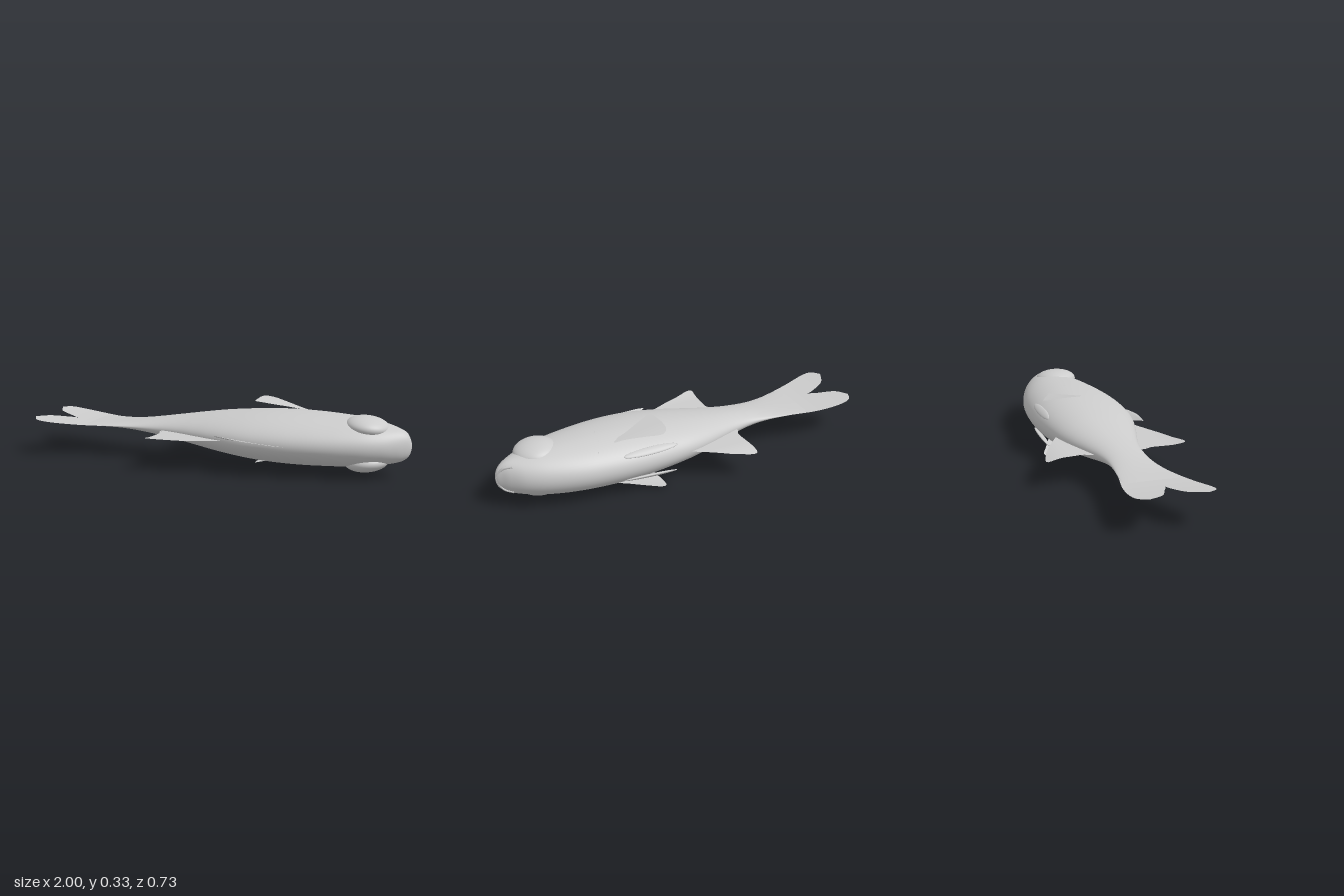
import * as THREE from 'three';
import { ParametricGeometry } from 'three/addons/geometries/ParametricGeometry.js';

const MID = 0.17; // height of the fish's plane of symmetry; it lies on its side

// Body stations: x, belly z, back z, half thickness
const STATIONS = [
  [-0.72, -0.13, 0.165, 0.004], [-0.6, -0.117, 0.135, 0.011], [-0.5, -0.106, 0.114, 0.022],
  [-0.4, -0.107, 0.107, 0.037], [-0.3, -0.128, 0.112, 0.053], [-0.2, -0.163, 0.131, 0.069],
  [-0.1, -0.2, 0.16, 0.085], [0, -0.23, 0.19, 0.1], [0.1, -0.249, 0.215, 0.112],
  [0.2, -0.262, 0.23, 0.122], [0.3, -0.27, 0.232, 0.129], [0.4, -0.271, 0.225, 0.132],
  [0.5, -0.266, 0.209, 0.132], [0.6, -0.255, 0.187, 0.129], [0.7, -0.233, 0.158, 0.124],
  [0.8, -0.2, 0.12, 0.114], [0.88, -0.16, 0.075, 0.099], [0.94, -0.113, 0.028, 0.083],
  [0.975, -0.078, -0.006, 0.062], [0.993, -0.06, -0.028, 0.036], [1, -0.047, -0.043, 0.003],
];

const vec = (x, y, z) => new THREE.Vector3(x, y, z);
const spline = (pts) => new THREE.CatmullRomCurve3(pts, false, 'catmullrom', 0.5);

function bodyGeometry() {
  const outline = spline(STATIONS.map(([x, b, t]) => vec(x, b, t)));
  const width = spline(STATIONS.map(([x, , , w]) => vec(x, w, 0)));
  return new ParametricGeometry((u, v, target) => {
    const o = outline.getPoint(u), w = width.getPoint(u).y, a = v * Math.PI * 2;
    // Egg-shaped section, widest towards the belly
    const centre = o.y + 0.44 * (o.z - o.y), c = Math.cos(a);
    target.set(o.x, MID + w * Math.sin(a), centre + c * (c > 0 ? o.z - centre : centre - o.y));
  }, 120, 64);
}

// Thin sheet lofted between two edge curves of [x, z] points, bent by height(x, z)
function finGeometry(edgeA, edgeB, height) {
  const [a, b] = [edgeA, edgeB].map((e) => spline(e.map(([x, z]) => vec(x, 0, z))));
  const geometry = new ParametricGeometry((u, v, target) => {
    target.lerpVectors(a.getPoint(u), b.getPoint(u), v);
    target.y = height(target.x, target.z);
  }, 32, 12);
  geometry.computeVertexNormals();
  return geometry;
}

export function createModel() {
  const group = new THREE.Group();
  const skin = new THREE.MeshStandardMaterial({ color: 0xcccccc });
  const sheet = new THREE.MeshStandardMaterial({ color: 0xcccccc, side: THREE.DoubleSide });
  const add = (name, geometry, material = skin) => {
    const mesh = new THREE.Mesh(geometry, material);
    mesh.name = name;
    group.add(mesh);
    return mesh;
  };

  add('body', bodyGeometry());

  // Forked tail, curling gently to one side at its end
  const tailHeight = (x) => MID + 0.2 * Math.max(0, -x - 0.62) ** 2;
  add('bellyTailLobe', finGeometry(
    [[-0.55, -0.108], [-0.65, -0.125], [-0.78, -0.152], [-0.9, -0.16], [-0.97, -0.145], [-1, -0.095]],
    [[-0.55, 0.03], [-0.7, 0.04], [-0.82, 0.04], [-0.88, 0.015], [-0.96, -0.025], [-1, -0.095]],
    tailHeight), sheet);
  add('backTailLobe', finGeometry(
    [[-0.55, 0.12], [-0.65, 0.152], [-0.78, 0.195], [-0.9, 0.235], [-0.965, 0.235], [-1, 0.185]],
    [[-0.55, 0.03], [-0.7, 0.04], [-0.82, 0.04], [-0.88, 0.06], [-0.955, 0.105], [-1, 0.185]],
    tailHeight), sheet);

  // Fins on the midline
  add('frontDorsalFin', finGeometry(
    [[0.48, 0.19], [0.36, 0.205], [0.26, 0.21], [0.17, 0.205]],
    [[0.47, 0.208], [0.34, 0.25], [0.2, 0.267], [0.06, 0.253]],
    (x, z) => MID + 0.03 * Math.min(1, Math.max(0, (z - 0.2) / 0.055)) * THREE.MathUtils.clamp((0.46 - x) / 0.36, 0, 1)), sheet);
  add('rearDorsalFin', finGeometry(
    [[0.12, 0.19], [-0.02, 0.15], [-0.15, 0.12], [-0.24, 0.1], [-0.285, 0.09], [-0.285, 0.14]],
    [[0.1, 0.212], [-0.05, 0.285], [-0.16, 0.325], [-0.275, 0.357], [-0.25, 0.23], [-0.285, 0.14]],
    (x, z) => MID + 1.2 * Math.max(0, z - 0.26) ** 2), sheet);
  add('analFin', finGeometry(
    [[0.05, -0.21], [-0.05, -0.18], [-0.15, -0.14], [-0.24, -0.11], [-0.285, -0.1], [-0.29, -0.14]],
    [[0.03, -0.236], [-0.09, -0.305], [-0.18, -0.348], [-0.28, -0.363], [-0.262, -0.22], [-0.29, -0.14]],
    (x, z) => MID - 1.5 * Math.max(0, -z - 0.26) ** 2), sheet);

  // Paired parts on the two flanks
  for (const [side, s] of [['upper', 1], ['lower', -1]]) {
    const eye = add(`${side}Eye`, new THREE.SphereGeometry(1, 40, 28));
    eye.scale.set(0.11, 0.05, 0.11);
    eye.position.set(0.78, MID + s * 0.09, -0.02);
    eye.rotation.z = -s * 0.1;

    add(`${side}PectoralFin`, finGeometry(
      [[0.42, -0.17], [0.36, -0.185], [0.27, -0.225], [0.2, -0.253], [0.165, -0.225], [0.157, -0.16]],
      [[0.42, -0.135], [0.36, -0.13], [0.27, -0.09], [0.19, -0.055], [0.168, -0.055], [0.157, -0.16]],
      (x, z) => MID + s * (0.115 + 0.05 * (0.42 - x) / 0.263 - 0.8 * Math.max(0, -z - 0.15) ** 2)), sheet);

    const pelvic = add(`${side}PelvicFin`, new THREE.SphereGeometry(1, 24, 16));
    pelvic.scale.set(0.145, 0.008, 0.022);
    pelvic.position.set(0.26, MID + s * 0.07, -0.248);
    pelvic.rotation.set(-s * 0.6, 0, -s * 0.03);

    add(`${side}GillSeam`, new THREE.TubeGeometry(spline([
      vec(0.52, MID + s * 0.093, -0.2), vec(0.49, MID + s * 0.12, -0.13), vec(0.475, MID + s * 0.13, -0.05),
    ]), 24, 0.004, 6));
  }

  // Lip following the mouth around the snout
  add('lip', new THREE.TubeGeometry(spline([
    vec(0.925, MID - 0.07, -0.095), vec(0.968, MID - 0.054, -0.068), vec(0.993, MID, -0.05),
    vec(0.968, MID + 0.054, -0.068), vec(0.925, MID + 0.07, -0.095),
  ]), 40, 0.007, 8));

  return group;
}
